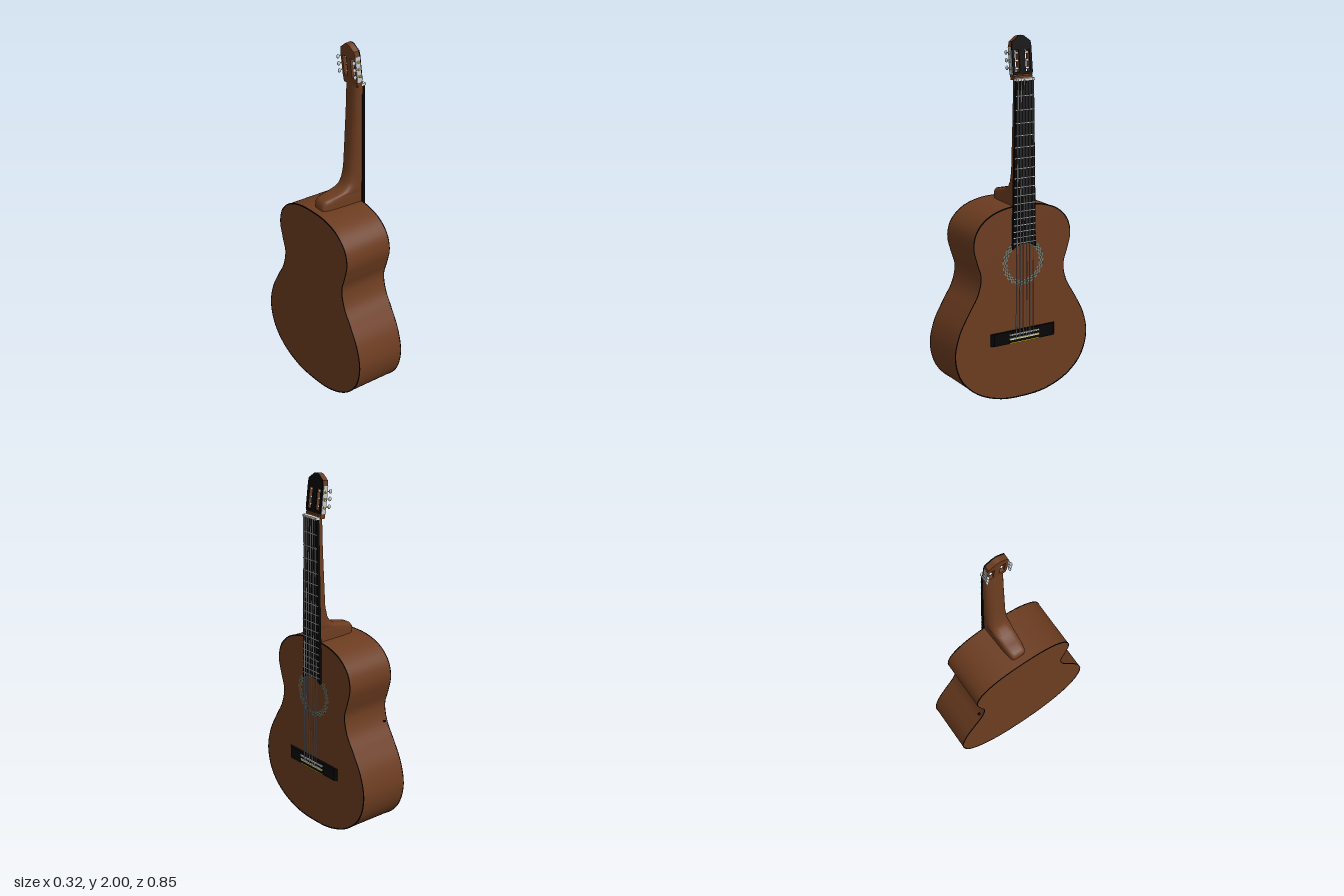
import * as THREE from 'three';
import { toCreasedNormals } from 'three/addons/utils/BufferGeometryUtils.js';

const mat = (name, color) => {
  const m = new THREE.MeshStandardMaterial({ color });
  m.name = name;
  return m;
};

export function createModel() {
  const wood = mat('brown wood', 0x6c3c20);
  const black = mat('black ebony', 0x050505);
  const silver = mat('silver', 0xc8cacc);
  const ivory = mat('ivory', 0xe6e4e0);
  const gold = mat('gold', 0xd8c420);
  const teal = mat('mosaic teal', 0x6f7d72);
  const dark = mat('mosaic dark', 0x3a3a32);
  const string = mat('string grey', 0xc0c0c0);

  // Built facing +z, then turned to face +x
  const guitar = new THREE.Group();
  guitar.name = 'guitar';

  const add = (name, geometry, material, parent = guitar) => {
    const m = new THREE.Mesh(geometry, material);
    m.name = name;
    parent.add(m);
    return m;
  };
  const box = (name, w, h, d, x, y, z, material, parent) => {
    const m = add(name, new THREE.BoxGeometry(w, h, d), material, parent);
    m.position.set(x, y, z);
    return m;
  };
  const rod = (name, a, b, r, material, parent, sides = 16) => {
    const A = new THREE.Vector3(...a), B = new THREE.Vector3(...b), d = B.clone().sub(A);
    const m = add(name, new THREE.CylinderGeometry(r, r, d.length(), sides), material, parent);
    m.position.copy(A).add(B).multiplyScalar(0.5);
    m.quaternion.setFromUnitVectors(new THREE.Vector3(0, 1, 0), d.normalize());
    return m;
  };
  const slab = (shape, z0, z1) => {
    const g = new THREE.ExtrudeGeometry(shape, { depth: z1 - z0, bevelEnabled: false, curveSegments: 24 });
    g.translate(0, 0, z0);
    return toCreasedNormals(g, 0.5);
  };
  const polygon = (pts) => new THREE.Shape(pts.map(([x, y]) => new THREE.Vector2(x, y)));
  const mirrored = (half) => half.concat(half.filter(p => p[0] > 0).reverse().map(([x, y]) => [-x, y]));

  // Body outline: a smooth closed curve, mirrored left to right
  const outline = mirrored([[0, 0.002], [0.15, 0.015], [0.295, 0.075], [0.388, 0.17], [0.424, 0.3], [0.397, 0.43],
    [0.335, 0.545], [0.282, 0.635], [0.262, 0.73], [0.285, 0.81], [0.306, 0.9], [0.285, 0.985],
    [0.22, 1.05], [0.12, 1.087], [0, 1.096]]);
  const curve = new THREE.CatmullRomCurve3(outline.map(([x, y]) => new THREE.Vector3(x, y, 0)), true);
  const smooth = curve.getSpacedPoints(140).slice(0, -1);
  const scaled = (s) => smooth.map(p => new THREE.Vector2(p.x * s, 0.55 + (p.y - 0.55) * s));
  add('body', slab(new THREE.Shape(scaled(1)), -0.157, 0.132), wood);

  // Black binding along both rims
  for (const [name, z] of [['frontBinding', 0.129], ['backBinding', -0.158]]) {
    const ring = new THREE.Shape(scaled(1.003));
    ring.holes.push(new THREE.Path(scaled(0.991)));
    add(name, slab(ring, z, z + 0.004), black);
  }

  // Mosaic rosette around the sound hole
  const rosette = new THREE.Group();
  rosette.name = 'rosette';
  rosette.position.set(0, 0.78, 0.1335);
  guitar.add(rosette);
  for (let row = 0; row < 4; row++) {
    for (let i = 0; i < 48; i++) {
      const r = 0.1 + row * 0.0075, k = (i * 7 + row * 5) % 4;
      if (k === 3) continue;
      add('rosetteTile', new THREE.RingGeometry(r, r + 0.0075, 1, 1, i * Math.PI / 24, Math.PI / 24),
        k === 1 ? dark : teal, rosette);
    }
  }

  // Neck and heel: D-shaped sections [y, back depth, half width, squareness]
  const sections = [[1.085, -0.113, 0.06, 0.3], [1.13, -0.115, 0.06, 0.3], [1.15, -0.1, 0.06, 0.35],
    [1.16, -0.05, 0.06, 0.45], [1.17, 0, 0.06, 0.6], [1.19, 0.035, 0.06, 0.7], [1.22, 0.055, 0.06, 0.75],
    [1.28, 0.07, 0.06, 0.8], [1.4, 0.077, 0.059, 0.8], [1.6, 0.088, 0.057, 0.8], [1.79, 0.096, 0.055, 0.7]];
  const N = 24, pos = [], idx = [];
  for (const [y, back, w, e] of sections) {
    for (let i = 0; i <= N; i++) {
      const a = Math.PI * i / N, c = Math.cos(a), s = Math.max(0, Math.sin(a));
      const depth = Math.pow(s, e), taper = back < 0 ? 1 - 0.18 * depth : 1;
      pos.push(w * taper * Math.sign(c) * Math.pow(Math.abs(c), e), y, 0.132 + (back - 0.132) * depth);
    }
  }
  const row = N + 1;
  for (let j = 0; j < sections.length - 1; j++) {
    for (let i = 0; i < row; i++) {
      const a = j * row + i, b = j * row + (i + 1) % row;
      idx.push(a, b, a + row, b, b + row, a + row);
    }
  }
  const end = (sections.length - 1) * row;
  for (let i = 1; i < N; i++) idx.push(end, end + i, end + i + 1);
  const neck = new THREE.BufferGeometry();
  neck.setAttribute('position', new THREE.Float32BufferAttribute(pos, 3));
  neck.setIndex(idx);
  add('neck', toCreasedNormals(neck, 0.9), wood);

  // Fingerboard with a curved end at the sound hole
  const board = new THREE.Shape();
  board.moveTo(-0.055, 1.77);
  board.lineTo(-0.072, 0.86);
  board.absarc(0, 0.772, 0.114, Math.PI - 0.885, 0.885, true);
  board.lineTo(0.055, 1.77);
  add('fingerboard', slab(board, 0.131, 0.148), black);
  for (let k = 1; k <= 17; k++) {
    const y = 1.765 - 1.395 * (1 - Math.pow(2, -k / 12));
    box('fret', 2 * (0.055 + (1.77 - y) * 0.0187), 0.004, 0.003, 0, y, 0.149, silver);
  }
  box('nut', 0.112, 0.012, 0.024, 0, 1.772, 0.142, ivory);

  // Bridge with sloping ends, saddle and tie block
  const bridge = new THREE.ExtrudeGeometry(
    polygon([[-0.206, -0.131], [0.206, -0.131], [0.19, -0.147], [-0.19, -0.147]]), { depth: 0.07, bevelEnabled: false });
  bridge.rotateX(-Math.PI / 2);
  bridge.translate(0, 0.33, 0);
  add('bridge', bridge, black);
  box('saddle', 0.19, 0.007, 0.012, 0, 0.38, 0.149, ivory);
  box('tieBlock', 0.19, 0.026, 0.008, 0, 0.345, 0.149, black);
  box('tieBlockTrim', 0.19, 0.006, 0.01, 0, 0.358, 0.149, ivory);
  box('tieBlockInlay', 0.19, 0.003, 0.01, 0, 0.3535, 0.149, gold);
  box('tieBlockInlay', 0.19, 0.006, 0.01, 0, 0.334, 0.149, gold);

  // Slotted headstock, tilted back, with a black front veneer
  const head = new THREE.Group();
  head.name = 'headstock';
  head.position.set(0, 1.778, 0.132);
  head.rotation.x = -0.12;
  guitar.add(head);
  const headShape = (y0) => {
    const s = polygon(mirrored([[0.057, y0], [0.06, 0.03], [0.06, 0.165], [0.056, 0.19],
      [0.035, 0.205], [0.018, 0.218], [0, 0.222]]));
    for (const k of [-1, 1]) {
      s.holes.push(new THREE.Path([[0.018, 0.032], [0.046, 0.032], [0.046, 0.145], [0.018, 0.145]]
        .map(([x, y]) => new THREE.Vector2(k * x, y))));
    }
    return s;
  };
  add('headstockCore', slab(headShape(-0.008), -0.036, -0.007), wood, head);
  add('headstockVeneer', slab(headShape(0.018), -0.007, 0), black, head);

  // Tuning machines: side plates, rollers and knobs pointing backwards
  for (const side of [-1, 1]) {
    box('tunerPlate', 0.004, 0.145, 0.028, side * 0.061, 0.09, -0.021, silver, head);
    for (let i = 0; i < 3; i++) {
      const y = 0.05 + i * 0.04;
      rod('roller', [side * 0.015, y, -0.018], [side * 0.049, y, -0.018], 0.006, ivory, head);
      rod('tunerGear', [side * 0.062, y, -0.02], [side * 0.069, y, -0.02], 0.006, gold, head);
      rod('tunerShaft', [side * 0.066, y + 0.006, -0.015], [side * 0.066, y + 0.006, -0.046], 0.003, silver, head);
      const knob = add('tunerKnob', new THREE.SphereGeometry(0.012, 16, 12), silver, head);
      knob.scale.set(0.55, 1, 0.8);
      knob.position.set(side * 0.066, y + 0.006, -0.051);
    }
  }

  // Six strings from the tie block over the saddle to the nut
  for (let i = 0; i < 6; i++) {
    const t = i / 2.5 - 1, r = 0.003 - i * 0.0002;
    rod('string', [t * 0.054, 0.358, 0.153], [t * 0.054, 0.382, 0.155], r, string);
    rod('string', [t * 0.054, 0.382, 0.155], [t * 0.045, 1.774, 0.154], r, string);
  }

  // Small socket on the side near the back
  rod('sideSocket', [0.272, 0.635, -0.135], [0.292, 0.642, -0.135], 0.006, black);

  guitar.rotation.y = Math.PI / 2;
  const model = new THREE.Group();
  model.name = 'acousticGuitar';
  model.add(guitar);
  return model;
}
